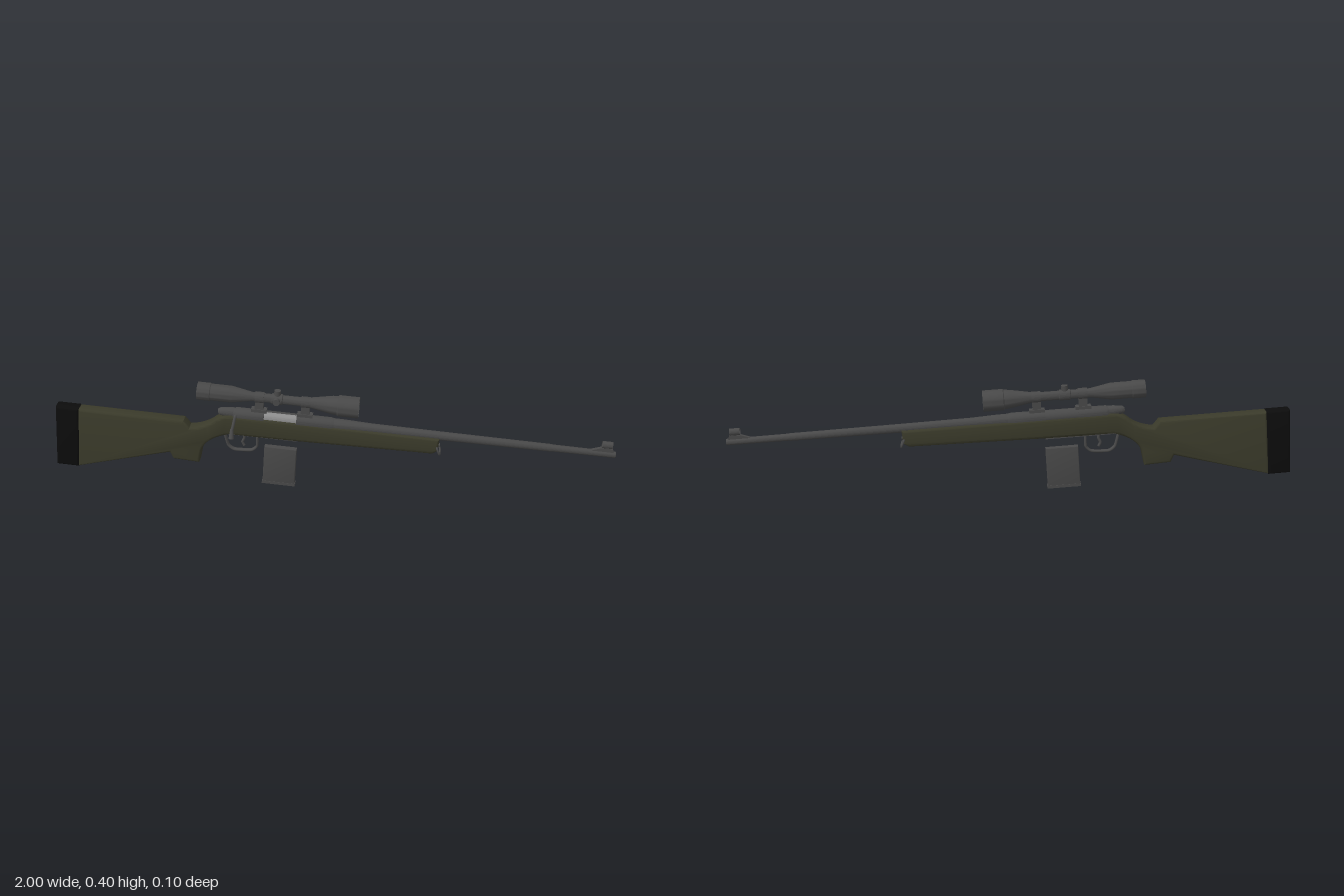
import * as THREE from 'three';
import { toCreasedNormals } from 'three/addons/utils/BufferGeometryUtils.js';

const material = (name, color, side = THREE.FrontSide) => {
  const m = new THREE.MeshStandardMaterial({ color, side });
  m.name = name;
  return m;
};

export function createModel() {
  const olive = material('olive stock', 0x3a3a2a);
  const black = material('black rubber', 0x0c0c0c);
  const metal = material('gunmetal', 0x484848, THREE.DoubleSide);
  const steel = material('bright steel', 0x8c8c8c);

  const model = new THREE.Group();
  model.name = 'rifle';
  const body = new THREE.Group(); // upright parts, on the mid plane
  body.name = 'body';
  body.position.z = -0.01;
  const action = new THREE.Group(); // parts along the tilted bore axis
  action.name = 'action';
  action.position.set(0, 0.257, -0.01);
  action.rotation.z = -0.068;
  model.add(body, action);

  const add = (parent, name, geometry, mat, x = 0, y = 0, z = 0) => {
    const mesh = new THREE.Mesh(geometry, mat);
    mesh.name = name;
    mesh.position.set(x, y, z);
    parent.add(mesh);
    return mesh;
  };
  // turned part along x from [x, radius] pairs
  const turned = (profile, segments = 24) => {
    const g = new THREE.LatheGeometry(profile.map(([x, r]) => new THREE.Vector2(r, x)), segments);
    g.rotateZ(-Math.PI / 2);
    return toCreasedNormals(g, 0.5);
  };
  // side profile extruded across z with bevelled edges
  const slab = (shape, width, bevel) => {
    const g = new THREE.ExtrudeGeometry(shape, {
      depth: width - 2 * bevel, bevelEnabled: bevel > 0, bevelThickness: bevel,
      bevelSize: bevel, bevelOffset: -bevel, bevelSegments: 3, curveSegments: 8,
    });
    g.translate(0, 0, -width / 2 + bevel);
    return toCreasedNormals(g, 0.6);
  };
  const polygon = (points) => new THREE.Shape(points.map(([x, y]) => new THREE.Vector2(x, y)));
  const wire = (points, radius, closed = false) => new THREE.TubeGeometry(
    new THREE.CatmullRomCurve3(points.map((p) => new THREE.Vector3(...p)), closed, 'catmullrom', 0.3),
    40, radius, 8, closed);

  // Stock with pistol grip and fore-end
  const stock = new THREE.Shape();
  stock.moveTo(-0.9, 0.278);
  stock.lineTo(-0.522, 0.251);
  stock.lineTo(-0.502, 0.225);
  stock.quadraticCurveTo(-0.455, 0.228, -0.42, 0.252);
  stock.quadraticCurveTo(-0.39, 0.278, -0.355, 0.28);
  stock.lineTo(0.385, 0.226);
  stock.lineTo(0.378, 0.178);
  stock.lineTo(0.36, 0.168);
  stock.lineTo(-0.1, 0.19);
  stock.lineTo(-0.26, 0.199);
  stock.lineTo(-0.36, 0.206);
  stock.quadraticCurveTo(-0.45, 0.185, -0.462, 0.135);
  stock.lineTo(-0.473, 0.086);
  stock.lineTo(-0.566, 0.096);
  stock.lineTo(-0.578, 0.122);
  stock.lineTo(-0.92, 0.046);
  add(body, 'stock', slab(stock, 0.05, 0.009), olive);
  add(body, 'buttPad', slab(polygon([
    [-0.982, 0.285], [-0.899, 0.279], [-0.919, 0.045], [-0.999, 0.051],
  ]), 0.051, 0.008), black);

  // Trigger guard and trigger
  add(body, 'triggerGuard', wire([
    [-0.38, 0.205, 0], [-0.368, 0.155, 0], [-0.345, 0.137, 0],
    [-0.285, 0.137, 0], [-0.264, 0.155, 0], [-0.262, 0.205, 0],
  ], 0.005), metal).scale.z = 1.8;
  add(body, 'trigger', wire([
    [-0.312, 0.21, 0], [-0.309, 0.185, 0], [-0.316, 0.168, 0], [-0.31, 0.154, 0],
  ], 0.005), metal);
  add(body, 'guardPlate', new THREE.BoxGeometry(0.26, 0.008, 0.024), metal, -0.25, 0.198).rotation.z = -0.068;

  // Detached box magazine
  const magazine = new THREE.Group();
  magazine.name = 'magazine';
  magazine.position.set(-0.184, 0.079, 0);
  magazine.rotation.z = -0.07;
  body.add(magazine);
  add(magazine, 'magazineBody', slab(polygon([
    [-0.058, -0.07], [0.058, -0.07], [0.058, 0.075], [-0.058, 0.075],
  ]), 0.022, 0.003), metal);
  add(magazine, 'magazineFloor', new THREE.BoxGeometry(0.12, 0.01, 0.025), metal, 0, -0.07);

  // Sling swivel at the fore-end tip
  add(body, 'slingSwivel', wire([
    [0.376, 0.194, -0.024], [0.376, 0.194, 0.024], [0.386, 0.168, 0.024], [0.386, 0.168, -0.024],
  ], 0.0035, true), metal);
  add(body, 'swivelStud', new THREE.CylinderGeometry(0.006, 0.006, 0.02, 10), metal, 0.376, 0.194)
    .rotation.z = Math.PI / 2;

  // Barrel with a hollow muzzle
  add(action, 'barrel', turned([
    [-0.02, 0], [-0.02, 0.022], [0.05, 0.021], [0.14, 0.0175], [0.4, 0.0155], [0.775, 0.0135],
    [0.78, 0.0125], [0.995, 0.0115], [0.998, 0.01], [0.998, 0.005], [0.96, 0.005], [0.96, 0],
  ]), metal);

  // Receiver: closed ends, cut open on the right between them
  add(action, 'receiverRear', turned([
    [-0.345, 0], [-0.345, 0.02], [-0.335, 0.024], [-0.235, 0.024], [-0.235, 0],
  ]), metal);
  add(action, 'receiverFront', turned([
    [-0.12, 0], [-0.12, 0.024], [0, 0.024], [0.015, 0.021], [0.015, 0],
  ]), metal);
  const shell = new THREE.CylinderGeometry(0.0235, 0.0235, 0.12, 20, 1, true, 0.2, Math.PI * 1.5 + 0.1);
  shell.rotateZ(-Math.PI / 2);
  add(action, 'receiverShell', shell, metal, -0.178);
  add(action, 'bolt', turned([[-0.24, 0], [-0.24, 0.019], [-0.115, 0.019], [-0.115, 0]]), steel);
  add(action, 'boltShroud', turned([
    [-0.4, 0], [-0.4, 0.009], [-0.392, 0.014], [-0.36, 0.018], [-0.34, 0.018], [-0.34, 0],
  ]), metal, 0, 0.004);

  // Bolt handle and knob, hanging down on the right side
  add(action, 'boltHandle', wire([
    [-0.335, 0.004, 0.012], [-0.336, -0.001, 0.027], [-0.34, -0.03, 0.039], [-0.343, -0.05, 0.045],
  ], 0.0055), metal);
  const knob = add(action, 'boltKnob', new THREE.CylinderGeometry(0.006, 0.0095, 0.036, 14), metal,
    -0.343, -0.058, 0.046);
  knob.rotation.x = -0.28;

  // Telescopic sight
  const scope = new THREE.Group();
  scope.name = 'scope';
  scope.position.set(-0.005, 0.075, 0);
  action.add(scope);
  add(scope, 'scopeTube', turned([
    [-0.462, 0], [-0.462, 0.027], [-0.47, 0.029], [-0.47, 0.032], [-0.425, 0.032], [-0.422, 0.03],
    [-0.35, 0.03], [-0.275, 0.016], [-0.085, 0.016], [0.005, 0.0325], [0.025, 0.0345],
    [0.028, 0.0375], [0.1, 0.0375], [0.1, 0.034], [0.092, 0.032], [0.092, 0],
  ], 32), metal);
  add(scope, 'turretBlock', turned([
    [-0.21, 0.015], [-0.206, 0.019], [-0.17, 0.019], [-0.166, 0.015],
  ]), metal);
  const turret = () => new THREE.CylinderGeometry(0.012, 0.012, 0.022, 16);
  add(scope, 'elevationTurret', turret(), metal, -0.188, 0.023);
  add(scope, 'windageTurret', turret(), metal, -0.188, 0, 0.02).rotation.x = Math.PI / 2;

  // Scope mounts
  for (const x of [-0.255, -0.092]) {
    add(action, 'mountBase', new THREE.BoxGeometry(0.055, 0.012, 0.026), metal, x, 0.025);
    add(action, 'mountPost', new THREE.BoxGeometry(0.03, 0.034, 0.02), metal, x, 0.044);
    add(action, 'mountRing', turned([
      [-0.016, 0.016], [-0.016, 0.0195], [0.016, 0.0195], [0.016, 0.016],
    ]), metal, x, 0.075);
  }

  // Front sight: ramp, blade and open hood
  add(action, 'sightRamp', slab(polygon([
    [0.905, 0.008], [0.945, 0.023], [0.985, 0.023], [0.99, 0.008],
  ]), 0.013, 0), metal);
  add(action, 'sightBlade', new THREE.BoxGeometry(0.012, 0.018, 0.004), metal, 0.965, 0.03);
  add(action, 'sightHood', turned([
    [0.946, 0.0105], [0.946, 0.0125], [0.982, 0.0125], [0.982, 0.0105], [0.946, 0.0105],
  ]), metal, 0, 0.035);

  return model;
}
